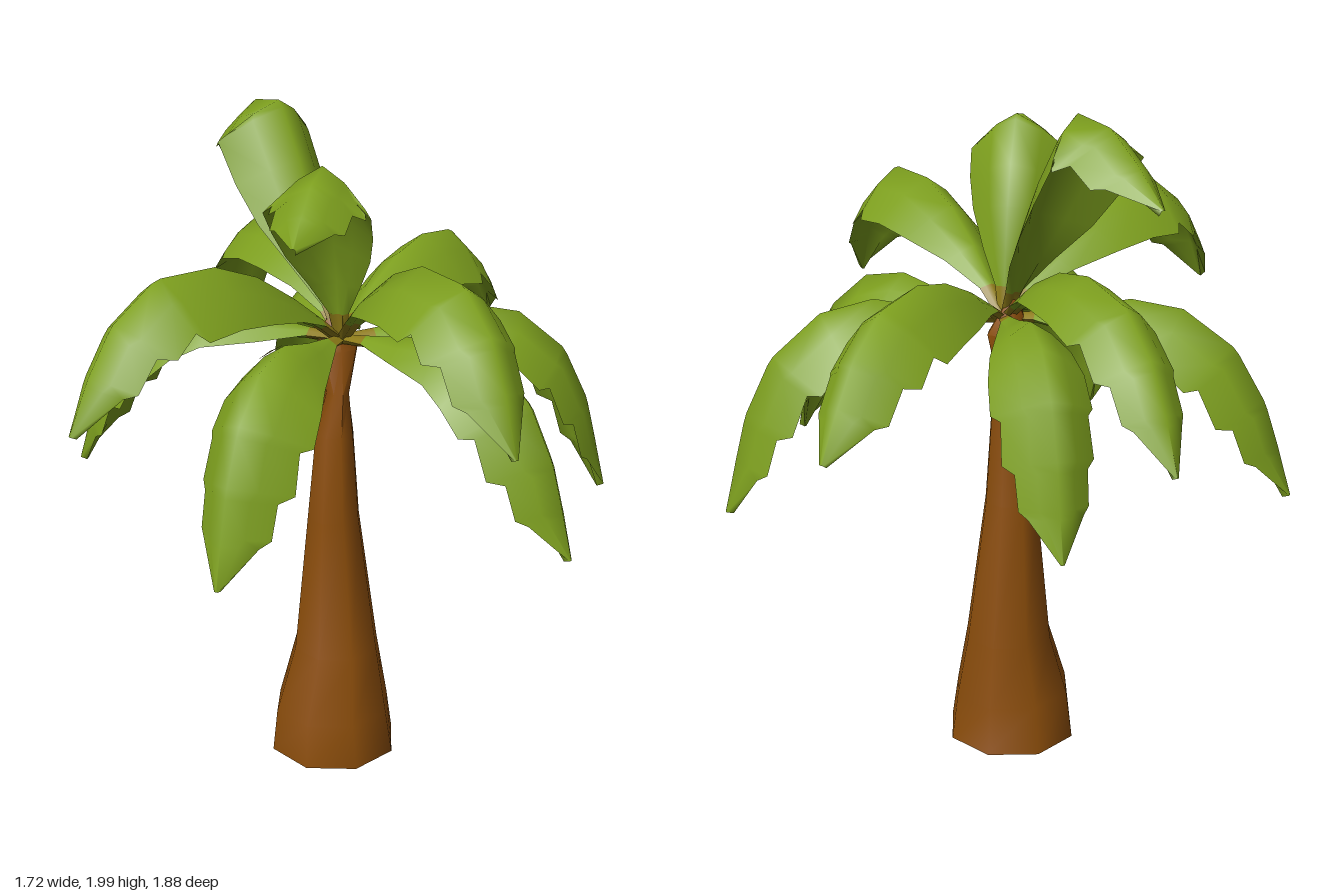
import * as THREE from 'three';
import { toCreasedNormals, mergeVertices } from 'three/addons/utils/BufferGeometryUtils.js';

const bark = new THREE.MeshStandardMaterial({ name: 'bark brown', color: 0x8b4d0a });
const green = new THREE.MeshStandardMaterial({ name: 'leaf green', color: 0x7d9f1e });
const olive = new THREE.MeshStandardMaterial({ name: 'stalk olive', color: 0x8c7a18 });

const CROWN = new THREE.Vector3(0.035, 1.36, 0.01);

// Trunk rings: y, centre x, centre z, radius x, radius z
const RINGS = [
  [0, 0.016, 0, 0.202, 0.203],
  [0.14, 0.01, 0.01, 0.185, 0.176],
  [0.34, 0.03, -0.01, 0.136, 0.137],
  [0.78, 0.018, -0.005, 0.083, 0.083],
  [1.05, 0.02, -0.002, 0.06, 0.06],
  [1.18, 0.03, -0.005, 0.034, 0.048],
  [1.31, 0.03, -0.02, 0.07, 0.052],
  [1.42, 0.02, -0.025, 0.008, 0.008],
];

function makeTrunk() {
  const n = RINGS.length - 1;
  let g = new THREE.CylinderGeometry(1, 1, n, 8, n);
  const p = g.attributes.position;
  for (let i = 0; i < p.count; i++) {
    const [y, cx, cz, rx, rz] = RINGS[Math.round(p.getY(i) + n / 2)];
    p.setXYZ(i, cx + p.getX(i) * rx, y, cz + p.getZ(i) * rz);
  }
  g.deleteAttribute('uv');
  g.deleteAttribute('normal');
  g = toCreasedNormals(mergeVertices(g), 0.9);
  const m = new THREE.Mesh(g, bark);
  m.name = 'trunk';
  return m;
}

// Frond outline: position along the midrib, half width (steps make the torn notches)
const OUTLINE = [
  [0, 0.02], [0.08, 0.032], [0.19, 0.08], [0.32, 0.128], [0.45, 0.15], [0.6, 0.158],
  [0.625, 0.135], [0.75, 0.142], [0.775, 0.112], [0.87, 0.108], [0.89, 0.085], [1, 0.006],
];
// Frond section: across, share of the leaf thickness below the top skin
const SECTION = [[-1, 0], [-0.5, 0], [0, 0], [0.5, 0], [1, 0], [0.5, 1], [0, 1], [-0.5, 1]];

// Midrib profiles: fraction of reach, height
const LOW = [[0.25, 1.39], [0.5, 1.43], [0.72, 1.36], [0.88, 1.18]];
const WIDE = [[0.18, 1.5], [0.38, 1.62], [0.6, 1.67], [0.78, 1.62], [0.9, 1.49]];
const MID = [[0.25, 1.49], [0.45, 1.55], [0.65, 1.54], [0.8, 1.46], [0.91, 1.33]];
const TALL = [[0.17, 1.63], [0.33, 1.84], [0.52, 2.0], [0.75, 1.94]];
const UPRIGHT = [[0.08, 1.58], [0.22, 1.78], [0.43, 1.91], [0.68, 1.87]];
const raise = (rib, h) => rib.map(([f, y]) => [f, y + h]);

// Returns point(t, x, lift) on the arched skin of a frond
function frondSkin(tip, rib) {
  const end = new THREE.Vector3(...tip);
  const at = (f, y) => new THREE.Vector3().lerpVectors(CROWN, end, f).setY(y);
  const curve = new THREE.CatmullRomCurve3([CROWN, ...rib.map((q) => at(...q)), end]);
  const dir = end.clone().sub(CROWN).setY(0).normalize();
  const side = new THREE.Vector3(dir.z, 0, -dir.x);
  return (t, x, lift) => {
    const up = curve.getTangentAt(t).cross(side).normalize();
    const height = lift - 0.45 * Math.abs(x) - 3.2 * x * x;
    return curve.getPointAt(t).addScaledVector(side, x).addScaledVector(up, height);
  };
}

function makeFrond({ tip, rib, width = 1, spot }) {
  const skin = frondSkin(tip, rib);
  const pos = [], index = [], n = SECTION.length;
  OUTLINE.forEach(([t, w], r) => {
    for (const [s, under] of SECTION) pos.push(...skin(t, s * w * width, -0.022 * under));
    if (r === 0) return;
    for (let i = 0; i < n; i++) {
      const j = (i + 1) % n, a = (r - 1) * n, b = r * n;
      index.push(a + i, b + i, b + j, a + i, b + j, a + j);
    }
  });
  const g = new THREE.BufferGeometry();
  g.setAttribute('position', new THREE.Float32BufferAttribute(pos, 3));
  g.setIndex(index);
  // The first band is the bare stalk
  g.addGroup(0, n * 6, 0);
  g.addGroup(n * 6, index.length - n * 6, 1);
  const frond = new THREE.Group();
  const blade = new THREE.Mesh(toCreasedNormals(g, 1.4), [olive, green]);
  blade.name = 'blade';
  frond.add(blade);
  if (spot) frond.add(makeSpot(skin, ...spot));
  return frond;
}

// Thin withered spot that follows the skin
function makeSpot(skin, t, x) {
  const g = new THREE.CircleGeometry(0.035, 8);
  const p = g.attributes.position;
  for (let i = 0; i < p.count; i++) {
    p.setXYZ(i, ...skin(t + p.getY(i), x + p.getX(i), 0.004));
  }
  g.computeVertexNormals();
  const m = new THREE.Mesh(g, olive);
  m.name = 'witheredSpot';
  return m;
}

const FRONDS = {
  leftFrond: { tip: [0.86, 0.82, 0.15], rib: LOW, width: 0.95 },
  backLeftFrond: { tip: [0.79, 1.2, -0.56], rib: MID },
  lowBackFrond: { tip: [0.18, 0.87, -0.7], rib: LOW, width: 0.9 },
  backFrond: { tip: [-0.02, 1.17, -0.94], rib: raise(MID, 0.03), width: 0.85 },
  tallBackFrond: { tip: [-0.11, 1.79, -0.67], rib: TALL },
  backRightFrond: { tip: [-0.64, 0.87, -0.52], rib: LOW },
  rightFrond: { tip: [-0.86, 1.3, 0.39], rib: WIDE },
  frontRightFrond: { tip: [-0.52, 0.86, 0.53], rib: LOW, spot: [0.33, -0.04] },
  uprightFrontFrond: { tip: [-0.27, 1.76, 0.46], rib: UPRIGHT, width: 0.95, spot: [0.46, -0.06] },
  frontFrond: { tip: [0.15, 1.3, 0.94], rib: raise(WIDE, 0.025) },
  frontLeftFrond: { tip: [0.46, 0.86, 0.69], rib: LOW },
};

export function createModel() {
  const palm = new THREE.Group();
  palm.name = 'palmTree';
  palm.add(makeTrunk());

  const fronds = new THREE.Group();
  fronds.name = 'fronds';
  for (const [name, spec] of Object.entries(FRONDS)) {
    const frond = makeFrond(spec);
    frond.name = name;
    fronds.add(frond);
  }
  palm.add(fronds);
  return palm;
}
